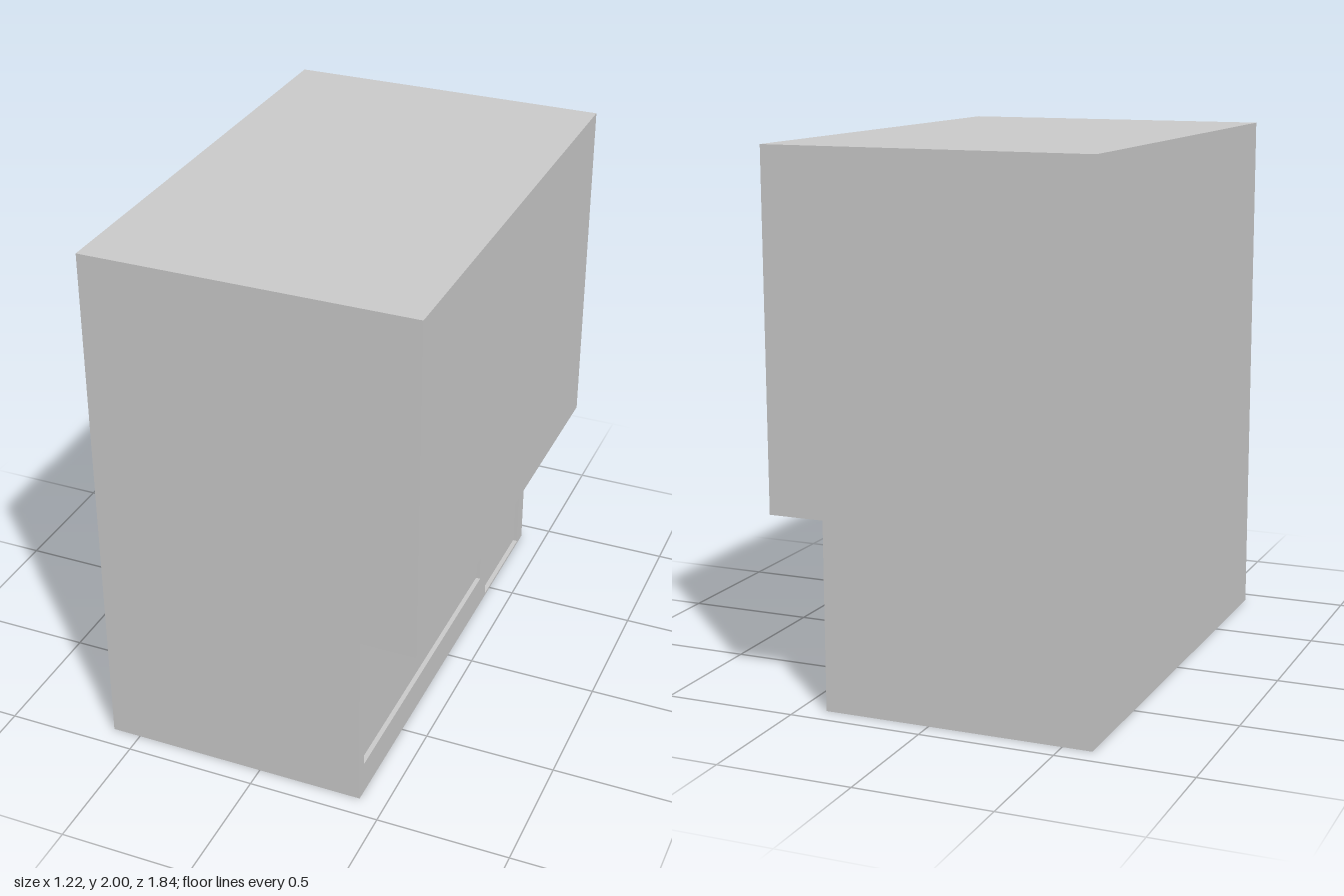
import * as THREE from 'three';

const HALF_W = 0.61, HALF_D = 0.92, HEIGHT = 2;
const WALL_X = 0.4, OVERHANG_Y = 0.7, RECESS = 0.018;

// Closed polygon from [x, y] corners
const polygon = (Type, points) => new Type(points.map(([x, y]) => new THREE.Vector2(x, y)));

const rect = (Type, x0, x1, y0, y1) =>
  polygon(Type, [[x0, y0], [x1, y0], [x1, y1], [x0, y1]]);

export function createModel() {
  const group = new THREE.Group();
  const material = new THREE.MeshStandardMaterial({ color: 0xcccccc, flatShading: true });

  const add = (name, geometry) => {
    const mesh = new THREE.Mesh(geometry, material);
    mesh.name = name;
    group.add(mesh);
  };

  // Building block with overhanging upper storeys; its lower wall is the recess floor
  const innerX = WALL_X - RECESS;
  const profile = polygon(THREE.Shape, [
    [-HALF_W, 0], [innerX, 0], [innerX, OVERHANG_Y],
    [HALF_W, OVERHANG_Y], [HALF_W, HEIGHT], [-HALF_W, HEIGHT],
  ]);
  const body = new THREE.ExtrudeGeometry(profile, { depth: 2 * HALF_D, bevelEnabled: false });
  body.translate(0, 0, -HALF_D);
  add('buildingBody', body);

  // Ground floor facade with the shop window and door cut out (shape x runs along -z)
  const facade = rect(THREE.Shape, -HALF_D, HALF_D, 0, OVERHANG_Y);
  facade.holes.push(
    rect(THREE.Path, -0.88, 0.37, 0.13, 0.61), // window
    rect(THREE.Path, 0.44, 0.86, 0.01, 0.62),  // door
  );
  const wall = new THREE.ExtrudeGeometry(facade, { depth: RECESS, bevelEnabled: false });
  wall.rotateY(Math.PI / 2).translate(innerX, 0, 0);
  add('groundFloorFacade', wall);

  return group;
}
